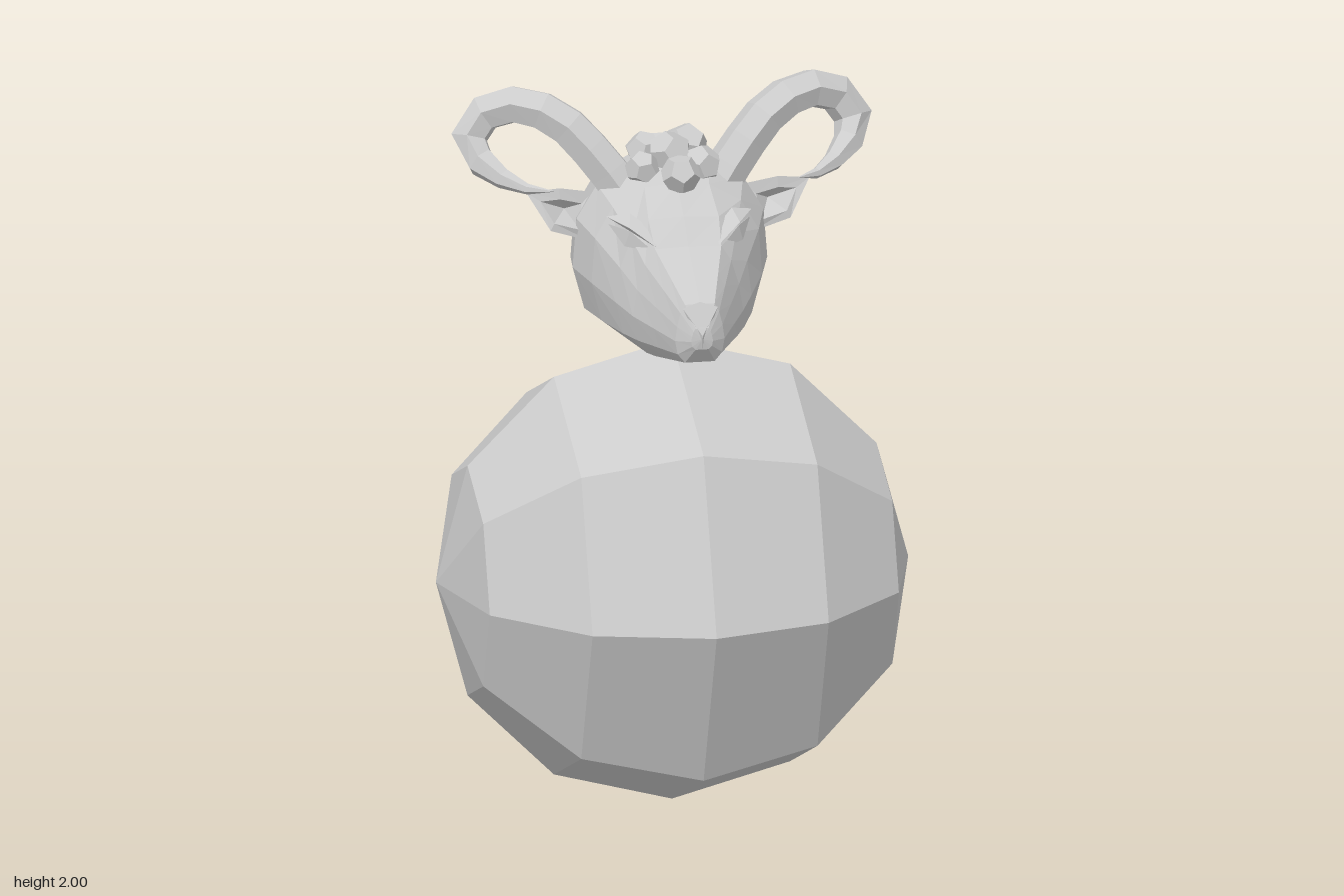
import * as THREE from 'three';
import { ConvexGeometry } from 'three/addons/geometries/ConvexGeometry.js';

const V = (x, y, z) => new THREE.Vector3(x, y, z);
const mat = new THREE.MeshStandardMaterial({ color: 0xcccccc, flatShading: true });
const thin = new THREE.MeshStandardMaterial({ color: 0xcccccc, flatShading: true, side: THREE.DoubleSide });

function add(parent, name, geometry, material = mat) {
  const mesh = new THREE.Mesh(geometry, material);
  mesh.name = name;
  parent.add(mesh);
  return mesh;
}

function meshFrom(points, index) {
  const g = new THREE.BufferGeometry().setFromPoints(points);
  g.setIndex(index);
  const flat = g.toNonIndexed();
  flat.computeVertexNormals();
  return flat;
}

// Head: cross-sections from the back of the skull to the muzzle
function headGeometry() {
  // half outlines (width, height) from chin to crown: round skull and squarer snout
  const skull = [[0, 0], [0.45, 0], [0.88, 0.16], [1, 0.4], [0.96, 0.68], [0.75, 0.87], [0.38, 0.98], [0, 1]];
  const snout = [[0, 0], [0.6, 0], [0.9, 0.15], [1, 0.38], [0.92, 0.62], [0.78, 0.85], [0.6, 0.99], [0, 1]];
  // z, half width, bottom, top
  const sections = [
    [-0.33, 0.08, 1.45, 1.61], [-0.3, 0.15, 1.4, 1.68], [-0.23, 0.21, 1.355, 1.76],
    [-0.14, 0.253, 1.32, 1.8], [-0.03, 0.268, 1.32, 1.81], [0.07, 0.235, 1.32, 1.77],
    [0.17, 0.187, 1.325, 1.705], [0.235, 0.152, 1.335, 1.64], [0.32, 0.11, 1.35, 1.585],
    [0.405, 0.068, 1.365, 1.53], [0.438, 0.03, 1.41, 1.47],
  ];
  const pts = [], idx = [], n = 14;
  for (const [z, w, lo, hi] of sections) {
    const f = THREE.MathUtils.clamp((z - 0.07) / 0.16, 0, 1);
    for (let j = 0; j < n; j++) {
      const k = j < 8 ? j : n - j, s = j < 8 ? 1 : -1;
      const u = THREE.MathUtils.lerp(skull[k][0], snout[k][0], f);
      const v = THREE.MathUtils.lerp(skull[k][1], snout[k][1], f);
      pts.push(V(s * u * w, lo + v * (hi - lo), z));
    }
  }
  const last = (sections.length - 1) * n;
  const back = pts.push(V(0, 1.53, -0.335)) - 1;
  const front = pts.push(V(0, 1.44, 0.443)) - 1;
  for (let j = 0; j < n; j++) {
    const k = (j + 1) % n;
    for (let r = 0; r < last; r += n) {
      idx.push(r + j, r + k, r + n + k, r + j, r + n + k, r + n + j);
    }
    idx.push(back, k, j, front, last + j, last + k);
  }
  return meshFrom(pts, idx);
}

// Horn: six-sided tapering tube curling up, out and forward to a point
function hornGeometry(s) {
  const path = [
    [0.12, 1.71, -0.03], [0.2, 1.82, -0.06], [0.3, 1.92, -0.1], [0.41, 1.95, -0.145],
    [0.5, 1.91, -0.17], [0.53, 1.84, -0.15], [0.48, 1.785, -0.08], [0.41, 1.755, -0.01], [0.335, 1.76, 0.055],
  ];
  const curve = new THREE.CatmullRomCurve3(path.map(([x, y, z]) => V(s * x, y, z)));
  const rings = 11, sides = 6;
  const g = new THREE.TubeGeometry(curve, rings, 1, sides);
  const pos = g.attributes.position, p = V(0, 0, 0);
  for (let i = 0; i <= rings; i++) {
    const t = i / rings, c = curve.getPointAt(t);
    const r = t < 0.65 ? 0.062 - 0.014 * t : 0.053 * (1 - t) / 0.35 + 0.001;
    for (let j = 0; j <= sides; j++) {
      const k = i * (sides + 1) + j;
      p.fromBufferAttribute(pos, k).sub(c).multiplyScalar(r).add(c);
      pos.setXYZ(k, p.x, p.y, p.z);
    }
  }
  g.computeVertexNormals();
  return g;
}

// Ear: pointed cup, with a rim, a back ridge and a hollow facing forward
function earGeometry(s) {
  const rim = [[0.22, 1.59, -0.02], [0.33, 1.625, -0.02], [0.39, 1.725, -0.06], [0.3, 1.735, -0.05], [0.21, 1.72, -0.05]];
  const inner = [[0.25, 1.625, -0.015], [0.32, 1.645, -0.02], [0.352, 1.70, -0.05], [0.3, 1.705, -0.045], [0.24, 1.69, -0.045]];
  const pts = [...rim, ...inner, [0.25, 1.66, -0.18], [0.28, 1.665, -0.09]].map(([x, y, z]) => V(s * x, y, z));
  const idx = [];
  for (let j = 0; j < 5; j++) {
    const k = (j + 1) % 5;
    const tris = [j, k, 5 + k, j, 5 + k, 5 + j, 5 + j, 5 + k, 11, k, j, 10];
    for (let t = 0; t < tris.length; t += 3) {
      idx.push(tris[t], tris[t + (s > 0 ? 1 : 2)], tris[t + (s > 0 ? 2 : 1)]);
    }
  }
  return meshFrom(pts, idx);
}

export function createModel() {
  const model = new THREE.Group();
  model.name = 'hornedAnimal';

  // Round body with its poles pointing sideways
  const body = add(model, 'body', new THREE.SphereGeometry(0.65, 8, 6).rotateZ(Math.PI / 2));
  body.position.y = 0.655;

  const head = new THREE.Group();
  head.name = 'head';
  model.add(head);
  add(head, 'skull', headGeometry());

  // Nose pad
  add(head, 'nose', new ConvexGeometry([
    V(-0.048, 1.52, 0.412), V(0.048, 1.52, 0.412), V(0, 1.535, 0.405),
    V(0, 1.45, 0.448), V(0, 1.41, 0.44), V(0, 1.47, 0.39),
  ]));

  for (const s of [1, -1]) {
    const side = s > 0 ? 'left' : 'right';
    add(head, side + 'Horn', hornGeometry(s));
    add(head, side + 'Ear', earGeometry(s), thin);

    // Slanted almond eye below a heavy lid
    add(head, side + 'Eye', new ConvexGeometry([
      V(s * 0.09, 1.625, 0.225), V(s * 0.195, 1.675, 0.105), V(s * 0.15, 1.675, 0.18),
      V(s * 0.163, 1.63, 0.17), V(s * 0.12, 1.64, 0.14),
    ]));
    add(head, side + 'Lid', new ConvexGeometry([
      V(s * 0.085, 1.64, 0.235), V(s * 0.2, 1.695, 0.1), V(s * 0.152, 1.685, 0.185),
      V(s * 0.14, 1.71, 0.13), V(s * 0.08, 1.67, 0.19), V(s * 0.1, 1.65, 0.12),
    ]));
  }

  // Curly tuft of faceted balls: x, y, z, radius
  const curls = [
    [-0.015, 1.805, -0.15, 0.043], [-0.06, 1.815, -0.1, 0.052], [0.055, 1.815, -0.115, 0.066],
    [0, 1.822, -0.03, 0.064], [-0.085, 1.8, 0.015, 0.048], [0.08, 1.798, 0.005, 0.055], [0.01, 1.795, 0.075, 0.055],
  ];
  curls.forEach(([x, y, z, r], i) => {
    const curl = add(head, 'curl', new THREE.DodecahedronGeometry(r));
    curl.position.set(x, y, z);
    curl.rotation.set(i * 0.9, i * 1.3, i * 0.5);
  });

  return model;
}
